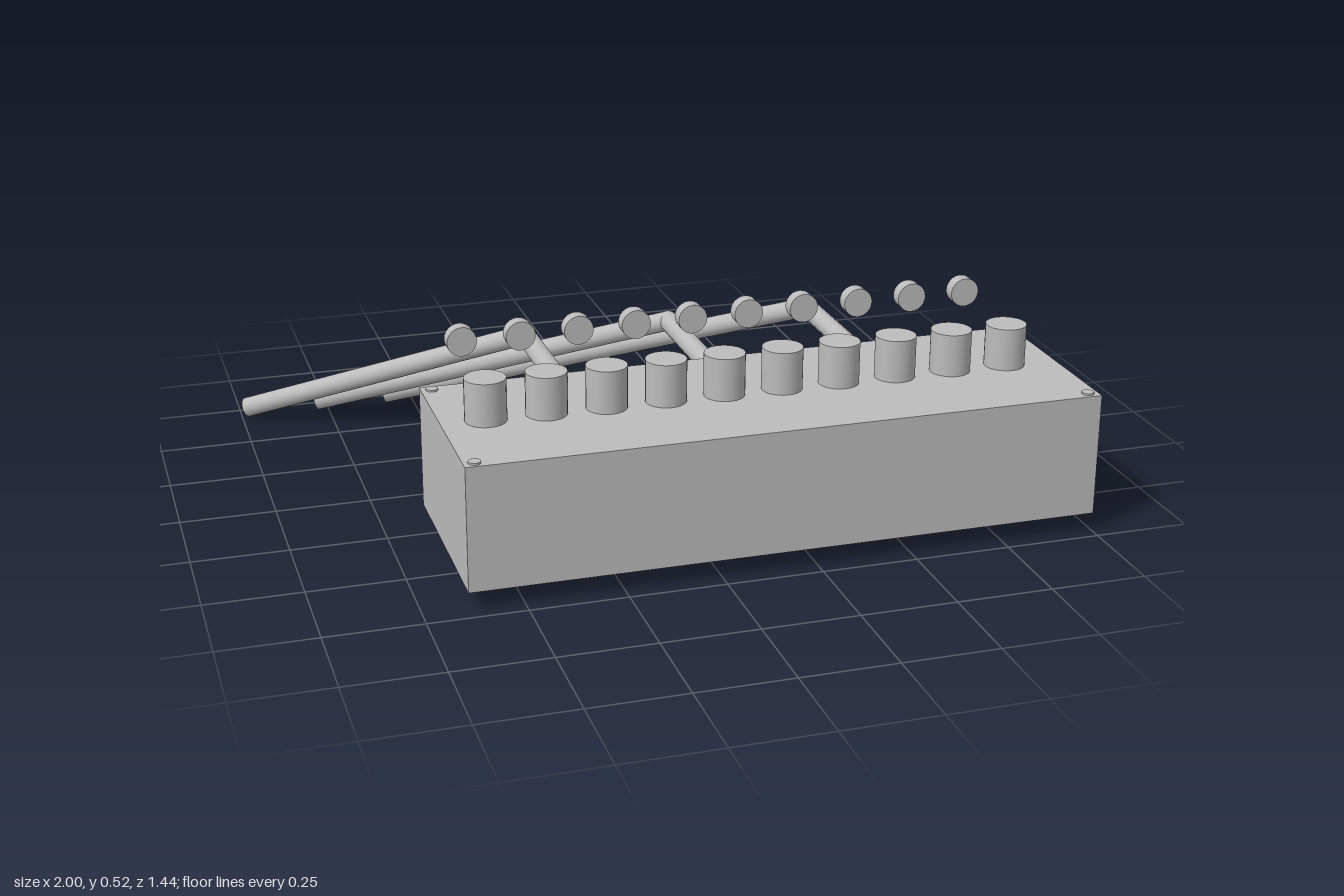
import * as THREE from 'three';

export function createModel() {
  const model = new THREE.Group();
  const grey = new THREE.MeshStandardMaterial({ color: 0xbcbcbc });
  grey.name = 'grey';

  function add(name, geometry, x, y, z, parent = model) {
    const mesh = new THREE.Mesh(geometry, grey);
    mesh.name = name;
    mesh.position.set(x, y, z);
    parent.add(mesh);
    return mesh;
  }

  // Round bar between two points
  function bar(name, a, b, radius, parent) {
    const dir = b.clone().sub(a);
    const mid = a.clone().add(b).multiplyScalar(0.5);
    const mesh = add(name, new THREE.CylinderGeometry(radius, radius, dir.length(), 16), mid.x, mid.y, mid.z, parent);
    mesh.quaternion.setFromUnitVectors(new THREE.Vector3(0, 1, 0), dir.normalize());
    return mesh;
  }

  // Main housing
  add('housing', new THREE.BoxGeometry(1.64, 0.324, 0.542), 0.18, 0.212, 0.446);

  // Row of posts on top, each with a stepped button floating behind it
  const post = new THREE.CylinderGeometry(0.053, 0.053, 0.112, 24);
  const buttonDisc = new THREE.CylinderGeometry(0.039, 0.039, 0.036, 24).rotateX(Math.PI / 2);
  const buttonStem = new THREE.CylinderGeometry(0.02, 0.02, 0.018, 20).rotateX(Math.PI / 2);
  for (let i = 0; i < 10; i++) {
    const x = -0.526 + i * 0.154;
    add('post', post, x, 0.43, 0.437);
    const button = new THREE.Group();
    button.name = 'button';
    button.position.set(x, 0.486, 0);
    add('buttonDisc', buttonDisc, 0, 0, 0.158, button);
    add('buttonStem', buttonStem, 0, 0, 0.131, button);
    model.add(button);
  }

  // Corner screws on the top face and hinge rods on the back face
  const screw = new THREE.CylinderGeometry(0.016, 0.016, 0.006, 16);
  for (const x of [-0.612, 0.972])
    for (const z of [0.2, 0.694]) add('screw', screw, x, 0.376, z);
  const rod = new THREE.CylinderGeometry(0.009, 0.009, 0.276, 12);
  for (const x of [-0.596, 0.949]) add('hingeRod', rod, x, 0.213, 0.171);

  // Bent pipes leaving the back and sloping down to the right
  const radius = 0.028;
  const elbow = new THREE.SphereGeometry(radius, 16, 12);
  for (const [x, endX] of [[-0.249, -0.985], [0.168, -0.781], [0.585, -0.581]]) {
    const pipe = new THREE.Group();
    pipe.name = 'pipe';
    const start = new THREE.Vector3(x, 0.316, 0.18);
    const bend = new THREE.Vector3(x, 0.316, -0.295);
    const end = new THREE.Vector3(endX, 0.028, -0.7);
    bar('pipeStraight', start, bend, radius, pipe);
    bar('pipeSlope', bend, end, radius, pipe);
    add('pipeElbow', elbow, bend.x, bend.y, bend.z, pipe);
    model.add(pipe);
  }

  return model;
}
